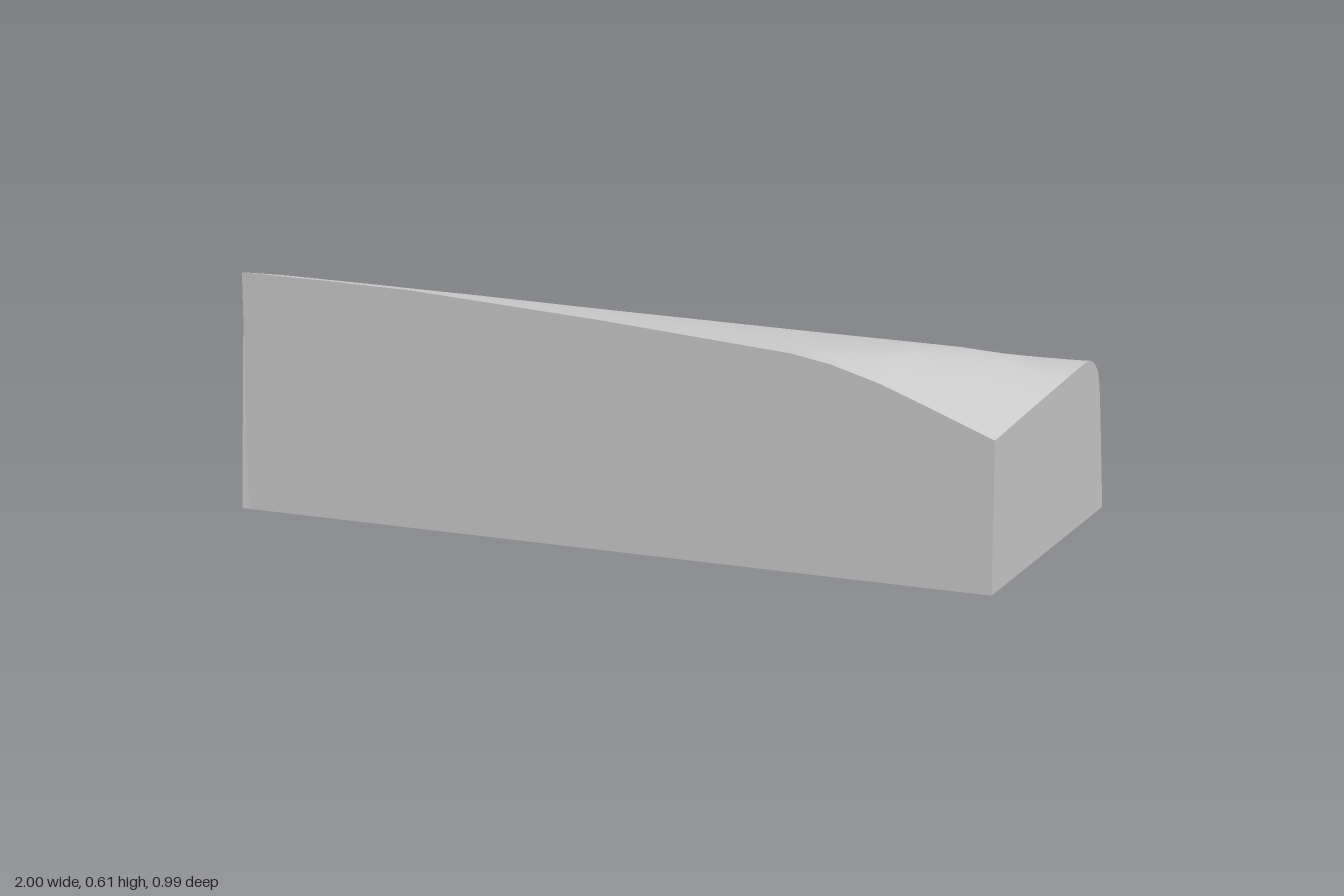
import * as THREE from 'three';

// Stations along x: [x, front z, top heights at front / z .25 / z 0 / z -.2, back edge z, blend to the narrow end]
const stations = [
  [-1, 0.455, 0.602, 0.561, 0.5, 0.437, -0.498, 0],
  [-0.98, 0.495, 0.611, 0.561, 0.5, 0.437, -0.498, 0],
  [-0.75, 0.495, 0.607, 0.557, 0.498, 0.436, -0.495, 0],
  [-0.5, 0.495, 0.6, 0.551, 0.495, 0.435, -0.492, 0],
  [0, 0.495, 0.567, 0.53, 0.485, 0.431, -0.487, 0],
  [0.5, 0.495, 0.526, 0.51, 0.474, 0.426, -0.48, 0],
  [0.6, 0.495, 0.508, 0.504, 0.472, 0.424, -0.477, 0],
  [0.72, 0.495, 0.473, 0.497, 0.469, 0.423, -0.472, 0],
  [0.85, 0.495, 0.424, 0.446, 0.452, 0.418, -0.44, 0.46],
  [1, 0.495, 0.365, 0.382, 0.398, 0.41, -0.4, 1],
];
// Rounded back edge: [fraction from z = -.2 to the back edge, height], for the main body and the narrow end
const mainEdge = [[0.34, 0.394], [0.52, 0.355], [0.73, 0.303], [0.885, 0.245], [0.955, 0.18], [0.985, 0.1], [1, 0]];
const endEdge = [[0.28, 0.408], [0.5, 0.39], [0.65, 0.362], [0.73, 0.32], [0.84, 0.2], [0.925, 0.1], [1, 0]];

function section([x, front, h0, h1, h2, h3, back, blend]) {
  const points = [[front, h0], [0.25, h1], [0, h2], [-0.2, h3]];
  mainEdge.forEach(([f, h], i) => {
    const fraction = THREE.MathUtils.lerp(f, endEdge[i][0], blend);
    points.push([-0.2 + (back + 0.2) * fraction, THREE.MathUtils.lerp(h, endEdge[i][1], blend)]);
  });
  const curve = new THREE.CatmullRomCurve3(points.map(([z, y]) => new THREE.Vector3(x, y, z)), false, 'centripetal');
  return curve.getPoints((points.length - 1) * 4);
}

// Surface through rows of points
function loft(name, rows, material) {
  const n = rows[0].length, index = [];
  for (let i = 0; i < rows.length - 1; i++) {
    for (let j = 0; j < n - 1; j++) {
      const a = i * n + j, b = a + n;
      index.push(a, b, a + 1, b, b + 1, a + 1);
    }
  }
  const geometry = new THREE.BufferGeometry().setFromPoints(rows.flat());
  geometry.setIndex(index);
  geometry.computeVertexNormals();
  const mesh = new THREE.Mesh(geometry, material);
  mesh.name = name;
  return mesh;
}

export function createModel() {
  const group = new THREE.Group();
  group.name = 'taperedBlock';
  const material = new THREE.MeshStandardMaterial({ color: 0xcccccc });
  const flat = new THREE.MeshStandardMaterial({ color: 0xcccccc, flatShading: true });
  const rows = stations.map(section);
  const ground = (p, z = p.z) => new THREE.Vector3(p.x, 0, z);
  const base = (row) => row.map((p, j) => ground(p, j ? p.z : 0.495));
  const first = rows[0], last = rows[rows.length - 1];

  group.add(
    // Curved top running down into the back
    loft('curvedShell', rows, material),
    // Flat closing faces
    loft('frontFace', rows.map((r) => [ground(r[0], 0.495), r[0]]), flat),
    loft('bottomFace', rows.map((r) => [r[r.length - 1], ground(r[0], 0.495)]), flat),
    loft('tallEnd', [base(first), first], flat),
    loft('lowEnd', [last, base(last)], flat),
  );
  return group;
}
